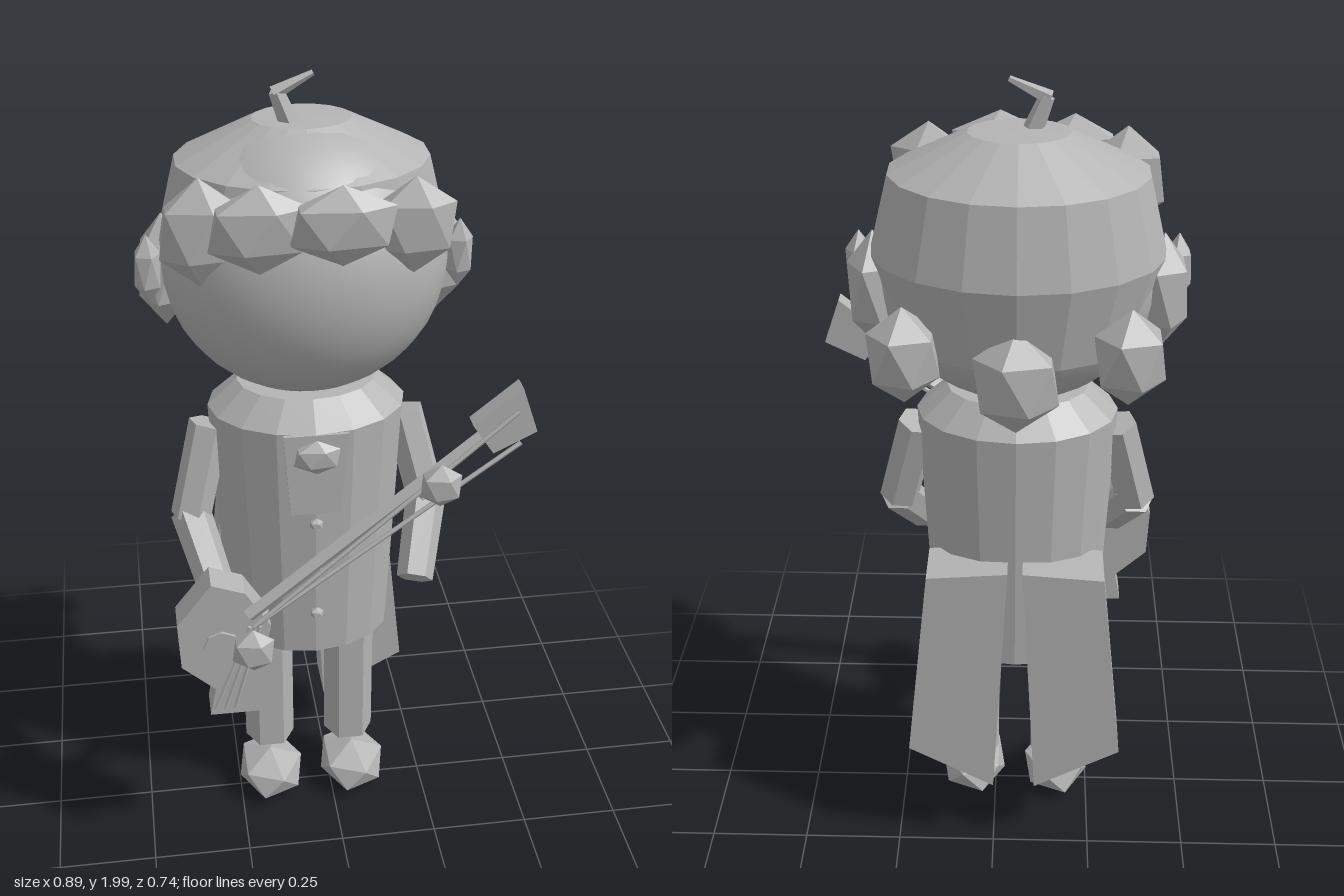
import * as THREE from 'three';

const CX = -0.053; // mirror plane of the figure
const grey = new THREE.MeshStandardMaterial({ color: 0xb4b4b4 });
grey.name = 'stone grey';

export function createModel() {
  const root = new THREE.Group();
  root.name = 'musician';

  const add = (name, geo, flat = true) => {
    let g = geo;
    if (flat) {
      g = geo.index ? geo.toNonIndexed() : geo;
      g.computeVertexNormals();
    }
    const m = new THREE.Mesh(g, grey);
    m.name = name;
    root.add(m);
    return m;
  };
  const mirrorX = (x, s) => (s > 0 ? x : 2 * CX - x);

  // Faceted lump with a point at the top, given by centre and half sizes
  const lump = (name, x, y, z, rx, ry, rz) => {
    const g = new THREE.IcosahedronGeometry(1).rotateZ(-0.5536);
    g.scale(rx / 0.894, ry, rz / 0.85).translate(x, y, z);
    return add(name, g);
  };
  // Tapered rod between two points
  const rod = (name, a, b, ra, rb = ra, sides = 6) => {
    const p = new THREE.Vector3(...a), q = new THREE.Vector3(...b);
    const d = q.clone().sub(p);
    const g = new THREE.CylinderGeometry(rb, ra, d.length(), sides);
    g.applyQuaternion(new THREE.Quaternion().setFromUnitVectors(new THREE.Vector3(0, 1, 0), d.normalize()));
    g.translate(...p.add(q).multiplyScalar(0.5).toArray());
    return add(name, g);
  };
  // Outline in x and y, extruded from z0 to z1
  const slab = (name, pts, z0, z1) => {
    const s = new THREE.Shape(pts.map(p => new THREE.Vector2(...p)));
    const g = new THREE.ExtrudeGeometry(s, { depth: z1 - z0, bevelEnabled: false });
    return add(name, g.translate(0, 0, z0));
  };
  // Faceted oval turning, profile listed upwards
  const turned = (name, pts, sides, zScale, z) => {
    const g = new THREE.LatheGeometry(pts.map(p => new THREE.Vector2(...p)), sides);
    return add(name, g.scale(1, 1, zScale).translate(CX, 0, z));
  };

  // Head
  const face = new THREE.SphereGeometry(1, 32, 20).scale(0.33, 0.32, 0.28).translate(CX, 1.57, -0.04);
  add('face', face, false);
  turned('hairCap', [[0, 1.42], [0.28, 1.42], [0.335, 1.62], [0.29, 1.8], [0.113, 1.887], [0, 1.89]], 18, 0.8, -0.076);
  rod('hairTuftLower', [-0.075, 1.86, -0.05], [-0.112, 1.955, -0.05], 0.026, 0.018, 5);
  rod('hairTuftUpper', [-0.118, 1.95, -0.05], [-0.03, 1.992, -0.05], 0.018, 0.007, 5);

  // Curls: fringe, then back, then the two sides
  [[-0.30, 1.71, 0.138, 0.09, 0.125, 0.04], [-0.18, 1.74, 0.212, 0.11, 0.1, 0.035],
    [-0.005, 1.75, 0.236, 0.115, 0.09, 0.035], [0.16, 1.72, 0.177, 0.09, 0.11, 0.037]]
    .forEach(c => lump('fringeCurl', ...c));
  lump('backCurl', CX, 1.4, -0.305, 0.095, 0.125, 0.065);
  for (const s of [1, -1]) {
    lump('backCurl', mirrorX(0.195, s), 1.445, -0.27, 0.08, 0.115, 0.065);
    lump('sideCurl', mirrorX(0.27, s), 1.53, -0.1, 0.06, 0.14, 0.065);
    lump('smallSideCurl', mirrorX(0.308, s), 1.56, -0.035, 0.032, 0.085, 0.032);
  }

  // Coat with sloping shoulders
  turned('coat', [[0, 0.55], [0.208, 0.55], [0.24, 1.2], [0.168, 1.265], [0, 1.265]], 16, 0.77, -0.037);
  slab('shirtFront', [[-0.115, 0.985], [0.005, 0.985], [0.025, 1.2], [-0.13, 1.2]], 0.141, 0.15);
  lump('brooch', CX, 1.15, 0.165, 0.055, 0.045, 0.02);
  for (const y of [0.685, 0.82, 0.95]) lump('button', CX, y, 0.143, 0.016, 0.016, 0.014);

  for (const s of [1, -1]) {
    const at = (x, y, z) => [mirrorX(x, s), y, z];

    // Coat tail
    const tail = [[-0.035, 0.865], [0.0, 0.205], [0.215, 0.325], [0.16, 0.85]].map(p => [mirrorX(p[0], s), p[1]]);
    slab('coatTail', tail, -0.26, -0.125);

    // Bent arm
    rod('upperArm', at(0.185, 1.155, -0.03), at(0.243, 0.92, 0.015), 0.05);
    rod('forearm', at(0.243, 0.93, 0.01), at(0.19, 0.78, 0.16), 0.05, 0.045);

    // Leg and shoe
    const leg = new THREE.CylinderGeometry(0.066, 0.066, 0.41, 6).rotateY(Math.PI / 2);
    add('leg', leg.translate(mirrorX(0.056, s), 0.36, -0.04));
    lump('shoe', mirrorX(0.06, s), 0.07, 0.002, 0.085, 0.063, 0.105);
  }

  // Stringed instrument
  slab('instrumentBody', [[-0.32, 0.88], [-0.24, 0.85], [-0.18, 0.75], [-0.2, 0.65], [-0.21, 0.49],
    [-0.335, 0.49], [-0.32, 0.57], [-0.4, 0.645], [-0.405, 0.77]], 0.185, 0.265);
  const hole = new THREE.CylinderGeometry(0.045, 0.045, 0.008, 8).rotateX(Math.PI / 2);
  add('soundDisc', hole.translate(-0.3, 0.7, 0.268));
  rod('instrumentNeck', [-0.235, 0.8, 0.285], [0.33, 1.235, 0.248], 0.018, 0.018, 4);
  slab('instrumentHead', [[0.29, 1.265], [0.34, 1.19], [0.44, 1.24], [0.4, 1.355]], 0.225, 0.27);

  // Strings running down to the tail and up to the head
  for (const i of [0, 1, 2]) {
    rod('tailString', [-0.325 + i * 0.024, 0.55, 0.315], [-0.235 + i * 0.012, 0.785, 0.31], 0.005, 0.005, 5);
  }
  for (const end of [[0.39, 1.3, 0.28], [0.4, 1.22, 0.28]]) {
    rod('longString', [-0.225, 0.785, 0.31], end, 0.006, 0.006, 5);
  }

  // Hands on the instrument
  lump('rightHand', -0.23, 0.735, 0.336, 0.05, 0.06, 0.03);
  lump('leftHand', 0.215, 1.13, 0.296, 0.048, 0.055, 0.03);

  return root;
}
